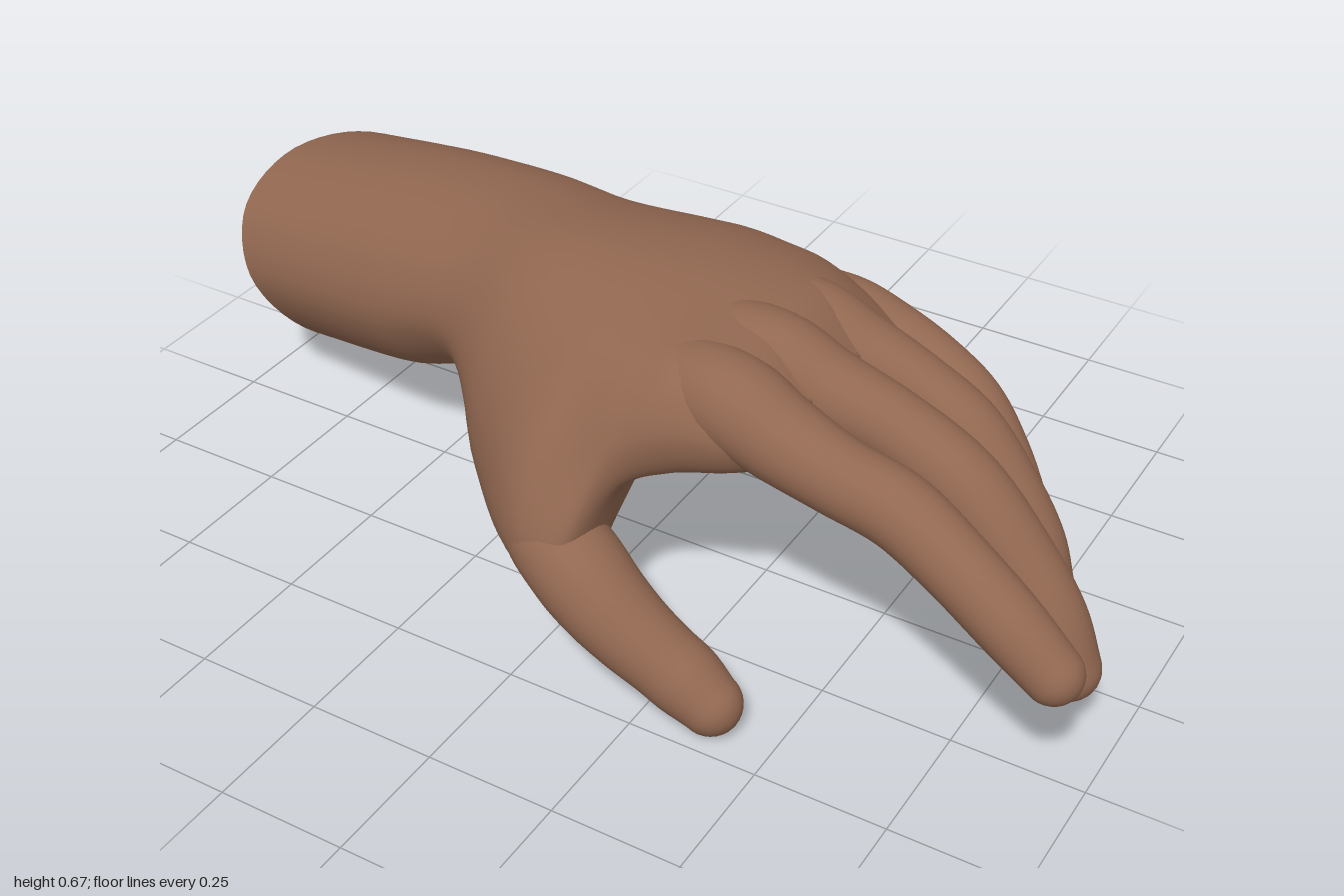
import * as THREE from 'three';

const skin = new THREE.MeshStandardMaterial({ color: 0x926851, side: THREE.DoubleSide });
skin.name = 'skin';

// Joins closed rings of points, listed counter-clockwise about the loft direction
function loft(rings, capStart, capEnd) {
  const n = rings[0].length, pos = [], index = [];
  rings.forEach(ring => ring.forEach(p => pos.push(p.x, p.y, p.z)));
  for (let j = 0; j < rings.length - 1; j++) {
    for (let i = 0; i < n; i++) {
      const a = j * n + i, b = j * n + (i + 1) % n;
      index.push(a, b, a + n, b, b + n, a + n);
    }
  }
  const cap = (j, flip) => {
    const c = new THREE.Vector3();
    rings[j].forEach(p => c.addScaledVector(p, 1 / n));
    const k = pos.length / 3;
    pos.push(c.x, c.y, c.z);
    for (let i = 0; i < n; i++) {
      const a = j * n + i, b = j * n + (i + 1) % n;
      index.push(k, flip ? b : a, flip ? a : b);
    }
  };
  if (capStart) cap(0, true);
  if (capEnd) cap(rings.length - 1, false);
  const geo = new THREE.BufferGeometry();
  geo.setAttribute('position', new THREE.Float32BufferAttribute(pos, 3));
  geo.setIndex(index);
  geo.computeVertexNormals();
  return geo;
}

// Slanted oval section of the arm with ten control points
function armSection(x, y, z, rz, ry, skew, shear) {
  return Array.from({ length: 10 }, (_, i) => {
    const a = i / 10 * Math.PI * 2;
    const dz = -Math.cos(a) * rz, dy = Math.sin(a) * ry + skew * dz;
    return new THREE.Vector3(x - shear * (0.47 * dy + 0.28 * dz), y + dy, z + dz);
  });
}

// Palm sections as [z, y]: little-finger edge, over the back, thumb side, underside
const palm = [
  [-0.17, [[-.28, .455], [-.225, .57], [-.075, .638], [.09, .648], [.235, .575], [.335, .42], [.338, .29], [.2, .232], [.03, .285], [-.175, .335]]],
  [0, [[-.3, .46], [-.23, .58], [-.06, .655], [.13, .665], [.31, .59], [.45, .41], [.475, .25], [.35, .167], [.1, .335], [-.18, .355]]],
  [0.085, [[-.3, .465], [-.23, .585], [-.06, .66], [.15, .668], [.33, .6], [.43, .43], [.485, .27], [.41, .175], [.15, .4], [-.18, .365]]],
  [0.16, [[-.285, .47], [-.22, .585], [-.05, .66], [.16, .668], [.33, .62], [.4, .5], [.385, .41], [.3, .4], [.12, .44], [-.17, .375]]],
  [0.24, [[-.268, .475], [-.21, .58], [-.05, .652], [.16, .663], [.325, .638], [.383, .54], [.355, .45], [.28, .435], [.11, .455], [-.165, .385]]],
  [0.34, [[-.245, .475], [-.19, .55], [-.05, .628], [.15, .643], [.3, .628], [.36, .55], [.335, .475], [.26, .46], [.1, .47], [-.16, .405]]],
  [0.43, [[-.22, .465], [-.18, .495], [-.04, .55], [.15, .57], [.28, .565], [.335, .53], [.31, .5], [.25, .49], [.1, .49], [-.15, .435]]],
];

// The arm is open at its far end
function armAndPalm() {
  const sections = [
    armSection(-0.868, 0.28, -0.247, 0.272, 0.208, 0.06, 1),
    armSection(-0.58, 0.367, -0.15, 0.25, 0.2, -0.03, 0.6),
    armSection(-0.34, 0.443, -0.068, 0.245, 0.175, -0.04, 0.25),
    ...palm.map(([x, pts]) => pts.map(([z, y]) => new THREE.Vector3(x, y, z))),
  ];
  const sides = 56, steps = 90;
  const curves = sections.map(s => new THREE.CatmullRomCurve3(s, true));
  const rails = Array.from({ length: sides }, (_, i) =>
    new THREE.CatmullRomCurve3(curves.map(c => c.getPoint(i / sides))));
  const rings = Array.from({ length: steps + 1 }, (_, j) => rails.map(r => r.getPoint(j / steps)));
  return loft(rings, false, true);
}

// Finger along joints [x, y, z, radius], rising out of the palm and ending in a round tip
function finger(joints) {
  const sides = 24, steps = 48, last = joints.length - 1;
  const path = new THREE.CatmullRomCurve3(joints.map(j => new THREE.Vector3(j[0], j[1], j[2])));
  const girth = new THREE.CatmullRomCurve3(joints.map((j, i) => new THREE.Vector3(i / last, j[3], 0)), false, 'catmullrom');
  const ring = (centre, dir, r) => {
    const u = new THREE.Vector3(0, 0, -1);
    u.addScaledVector(dir, -u.dot(dir)).normalize();
    const v = new THREE.Vector3().crossVectors(dir, u);
    return Array.from({ length: sides }, (_, i) => {
      const a = i / sides * Math.PI * 2;
      return centre.clone().addScaledVector(u, r * Math.cos(a)).addScaledVector(v, r * Math.sin(a));
    });
  };
  const rings = [];
  for (let j = 0; j <= steps; j++) {
    const t = j / steps;
    rings.push(ring(path.getPoint(t), path.getTangent(t), girth.getPoint(t).y));
  }
  const end = path.getPoint(1), dir = path.getTangent(1), r = joints[last][3];
  for (let k = 1; k <= 8; k++) {
    const a = k / 8.3 * Math.PI / 2;
    rings.push(ring(end.clone().addScaledVector(dir, r * Math.sin(a)), dir, r * Math.cos(a)));
  }
  return loft(rings, true, true);
}

const digits = {
  indexFinger: [[.1, .57, .25, .05], [.22, .58, .262, .077], [.32, .577, .277, .086], [.42, .545, .287, .077],
    [.53, .52, .3, .068], [.65, .5, .311, .066], [.76, .45, .33, .062], [.87, .38, .344, .059], [.95, .318, .349, .052]],
  middleFinger: [[.1, .57, .13, .05], [.22, .585, .13, .077], [.32, .585, .13, .083], [.42, .553, .128, .075],
    [.55, .518, .125, .066], [.68, .455, .13, .068], [.79, .35, .136, .065], [.865, .25, .142, .064], [.907, .158, .143, .058]],
  ringFinger: [[.1, .56, -.01, .05], [.22, .568, -.02, .075], [.31, .563, -.03, .081], [.4, .53, -.038, .073],
    [.51, .49, -.045, .063], [.61, .43, -.045, .066], [.7, .335, -.038, .062], [.757, .25, -.032, .06], [.793, .165, -.026, .053]],
  littleFinger: [[.1, .48, -.13, .045], [.2, .503, -.165, .066], [.3, .5, -.183, .071], [.39, .473, -.197, .063],
    [.48, .436, -.2, .057], [.56, .385, -.19, .059], [.63, .305, -.175, .055], [.685, .23, -.157, .048]],
  thumb: [[-.06, .33, .36, .05], [.02, .285, .4, .082], [.1, .24, .427, .088], [.16, .198, .439, .083],
    [.22, .156, .441, .076], [.28, .118, .438, .07], [.33, .088, .436, .068], [.377, .06, .438, .058]],
};

export function createModel() {
  const model = new THREE.Group();
  model.name = 'hand';
  const add = (name, geo) => {
    const mesh = new THREE.Mesh(geo, skin);
    mesh.name = name;
    model.add(mesh);
  };
  add('forearmAndPalm', armAndPalm());
  for (const [name, joints] of Object.entries(digits)) add(name, finger(joints));
  return model;
}
